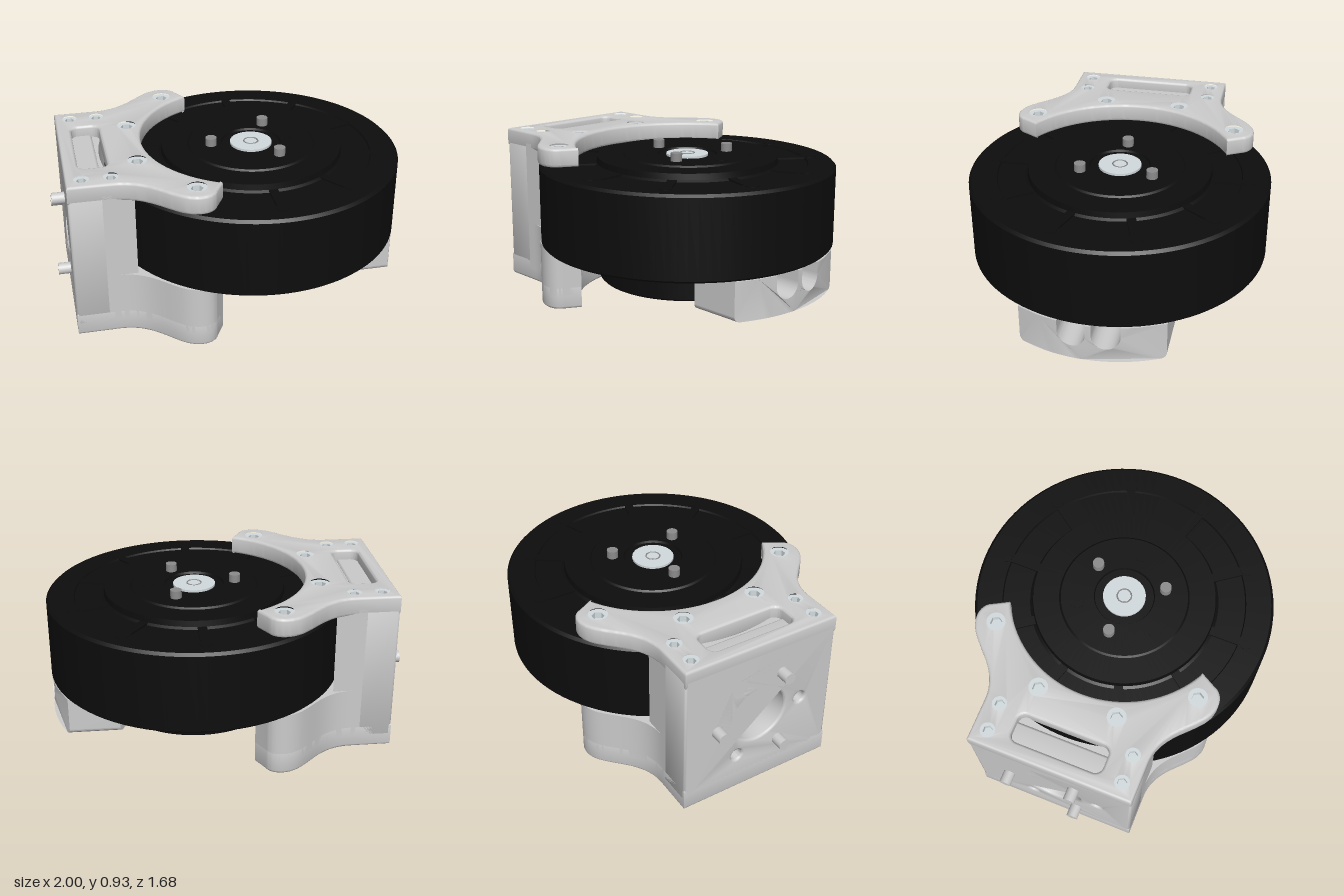
import * as THREE from 'three';
import { toCreasedNormals } from 'three/addons/utils/BufferGeometryUtils.js';

const CX = 0.155; // motor axis
const HALF = 0.465; // half width of the mounting block
const mat = (color) => new THREE.MeshStandardMaterial({ color });
const grey = mat(0xcccccc);
const black = mat(0x0d0d0d);
const steel = mat(0xd3dbde);
const pinGrey = mat(0x8c8c8c);

export function createModel() {
  const model = new THREE.Group();

  const add = (name, geo, material, parent = model) => {
    const mesh = new THREE.Mesh(geo, material);
    mesh.name = name;
    parent.add(mesh);
    return mesh;
  };
  const extrude = (shape, length, bevel = 0) => new THREE.ExtrudeGeometry(shape, {
    depth: length - 2 * bevel, curveSegments: 24, bevelEnabled: bevel > 0,
    bevelThickness: bevel, bevelSize: bevel, bevelOffset: -bevel, bevelSegments: 3,
  }).translate(0, 0, bevel);
  // Plan shape (x, z) standing between two heights
  const slab = (shape, y0, y1, bevel) =>
    toCreasedNormals(extrude(shape, y1 - y0, bevel).rotateX(Math.PI / 2).translate(0, y1, 0), 0.6);
  const circle = (x, y, r) => new THREE.Path().absarc(x, y, r, 0, Math.PI * 2, true);
  const cylinder = (name, x, y0, y1, z, r, material) =>
    add(name, new THREE.CylinderGeometry(r, r, y1 - y0, 28).translate(x, (y0 + y1) / 2, z), material);
  const roundRect = (S, x0, y0, x1, y1, r) => {
    const s = new S();
    s.absarc(x1 - r, y0 + r, r, -Math.PI / 2, 0);
    s.absarc(x1 - r, y1 - r, r, 0, Math.PI / 2);
    s.absarc(x0 + r, y1 - r, r, Math.PI / 2, Math.PI);
    s.absarc(x0 + r, y0 + r, r, Math.PI, Math.PI * 1.5);
    s.closePath();
    return s;
  };

  // Clamp outline: straight back, flared arms, round cut-out facing the motor
  const clampShape = (back) => {
    const p = new THREE.Path();
    p.moveTo(back, HALF);
    p.lineTo(-0.7, HALF);
    p.bezierCurveTo(-0.54, HALF, -0.47, 0.58, -0.38, 0.655);
    p.bezierCurveTo(-0.3, 0.725, -0.2, 0.715, -0.175, 0.645);
    p.lineTo(-0.13, 0.565);
    p.absarc(CX, 0, 0.632, Math.atan2(0.565, -0.285), Math.PI);
    const half = p.getPoints(20);
    const mirrored = half.slice(0, -1).reverse().map((v) => new THREE.Vector2(v.x, -v.y));
    return new THREE.Shape([...half, ...mirrored]);
  };

  const bolts = [[-0.845, 0.38, 0.05], [-0.69, 0.38, 0.05], [-0.53, 0.225, 0.062], [-0.27, 0.587, 0.062]]
    .flatMap(([x, z, r]) => [[x, z, r], [x, -z, r]]);

  // Socket-head bolt whose head faces +y
  const boltHead = (x, y, z, r, depth, flip = 1) => {
    const g = new THREE.Group();
    g.name = 'bolt';
    const ring = new THREE.Shape().absarc(0, 0, r, 0, Math.PI * 2);
    const hex = [...Array(6).keys()].map((i) => new THREE.Vector2(
      Math.cos(-i * Math.PI / 3), Math.sin(-i * Math.PI / 3)).multiplyScalar(r * 0.55));
    ring.holes.push(new THREE.Path(hex));
    add('boltHead', slab(ring, -0.035, 0), steel, g);
    add('boltShank', new THREE.CylinderGeometry(r, r, depth, 24).translate(0, -0.035 - depth / 2, 0), steel, g);
    g.position.set(x, y, z);
    if (flip < 0) g.rotation.x = Math.PI;
    model.add(g);
  };

  // Upper and lower clamp plates with slot and bolt holes
  const plate = () => {
    const s = clampShape(-0.93);
    s.holes.push(roundRect(THREE.Path, -0.85, -0.26, -0.69, 0.26, 0.045));
    for (const [x, z, r] of bolts) s.holes.push(circle(x, z, r + 0.006));
    return s;
  };
  add('upperClampPlate', slab(plate(), 0.825, 0.93, 0.015), grey);
  add('lowerClampPlate', slab(plate(), 0, 0.14, 0.015), grey);
  add('lowerClampArms', slab(clampShape(-0.72), 0.08, 0.365), grey);
  for (const [x, z, r] of bolts) {
    boltHead(x, 0.92, z, r, 0.05);
    boltHead(x, 0.01, z, r, 0.05, -1);
  }

  // Rear mounting wall with centre bore, pin holes and pins
  const wall = roundRect(THREE.Shape, -HALF, 0.07, HALF, 0.87, 0.005);
  wall.holes.push(circle(0, 0.465, 0.165));
  for (let i = 0; i < 6; i++) {
    const a = i * Math.PI / 3;
    const z = -Math.cos(a) * 0.265, y = 0.465 + Math.sin(a) * 0.265;
    if (i % 2) wall.holes.push(circle(-z, y, 0.034));
    else {
      add('mountingPin', new THREE.CylinderGeometry(0.033, 0.033, 0.2, 24)
        .rotateZ(Math.PI / 2).translate(-0.9, y, z), grey);
    }
  }
  add('rearWall', toCreasedNormals(
    extrude(wall, 0.2, 0.015).rotateY(Math.PI / 2).translate(-0.93, 0, 0), 0.6), grey);

  // Saddle between the wall and the motor
  const a = Math.asin(HALF / 0.87);
  const saddle = new THREE.Shape();
  saddle.moveTo(-0.75, -HALF);
  saddle.lineTo(-0.75, HALF);
  saddle.absarc(CX, 0, 0.87, Math.PI - a, Math.PI + a);
  add('saddle', slab(saddle, 0.07, 0.86), grey);

  // Motor body, turned around its axis
  const profile = [[0, 0.15], [0.495, 0.15], [0.505, 0.16], [0.505, 0.365], [0.828, 0.365], [0.84, 0.377],
    [0.84, 0.81], [0.825, 0.825], [0.685, 0.825], [0.68, 0.815], [0.53, 0.815], [0.515, 0.825],
    [0.51, 0.858], [0.365, 0.858], [0.355, 0.867], [0.17, 0.867], [0.165, 0.855], [0, 0.855]];
  add('motorBody', toCreasedNormals(new THREE.LatheGeometry(
    profile.map(([r, y]) => new THREE.Vector2(r, y)), 96), 0.5).translate(CX, 0, 0), black);

  // Rim screws and the raised ribs between them
  for (let i = 0; i < 10; i++) {
    const t = (i + 0.5) * Math.PI / 5;
    cylinder('rimScrew', CX + 0.72 * Math.cos(t), 0.815, 0.828, 0.72 * Math.sin(t), 0.036, black);
    add('rimRib', new THREE.BoxGeometry(0.18, 0.012, 0.05)
      .translate(0.6, 0.819, 0).rotateY(t).translate(CX, 0, 0), black);
  }

  // Output hub, drive pins and small plugs
  cylinder('outputHub', CX, 0.85, 0.868, 0, 0.12, steel);
  add('hubRing', new THREE.TorusGeometry(0.04, 0.004, 8, 32).rotateX(Math.PI / 2)
    .translate(CX, 0.868, 0), pinGrey);
  for (let i = 0; i < 6; i++) {
    const t = i * Math.PI / 3;
    if (i % 2) cylinder('drivePin', CX + 0.233 * Math.cos(t), 0.85, 0.912, 0.233 * Math.sin(t), 0.032, pinGrey);
    else cylinder('hubPlug', CX + 0.265 * Math.cos(t), 0.85, 0.869, 0.265 * Math.sin(t), 0.036, black);
  }

  // Cable block: two U slots, outer face following the motor rim, inner face a shallow V
  const block = new THREE.Shape();
  block.moveTo(-0.4, 0.365);
  block.lineTo(-0.4, 0.175);
  block.absarc(-0.37, 0.175, 0.03, Math.PI, Math.PI * 1.5);
  for (let z = -0.32; z < 0.33; z += 0.04) block.lineTo(z, 0.145);
  block.absarc(0.37, 0.175, 0.03, -Math.PI / 2, 0);
  block.lineTo(0.4, 0.365);
  for (const [z, next] of [[0.093, 0.25], [-0.093, 0]]) {
    block.lineTo(next || 0, 0.365);
    block.lineTo(z + 0.077, 0.365);
    block.absarc(z, 0.302, 0.077, 0, Math.PI, true);
    block.lineTo(z - 0.077, 0.365);
  }
  block.lineTo(-0.28, 0.365);
  const blockGeo = extrude(block, 1).rotateY(Math.PI / 2);
  const pos = blockGeo.attributes.position;
  for (let i = 0; i < pos.count; i++) {
    const z = pos.getZ(i);
    pos.setX(i, pos.getX(i) > 0.5 ? CX + Math.sqrt(0.84 ** 2 - z * z) : 0.42 + 0.475 * Math.abs(z));
  }
  blockGeo.computeVertexNormals();
  add('cableBlock', toCreasedNormals(blockGeo, 0.6), grey);
  for (const z of [-0.25, 0.25]) boltHead(0.76, 0.141, z, 0.045, 0.03, -1);

  return model;
}
